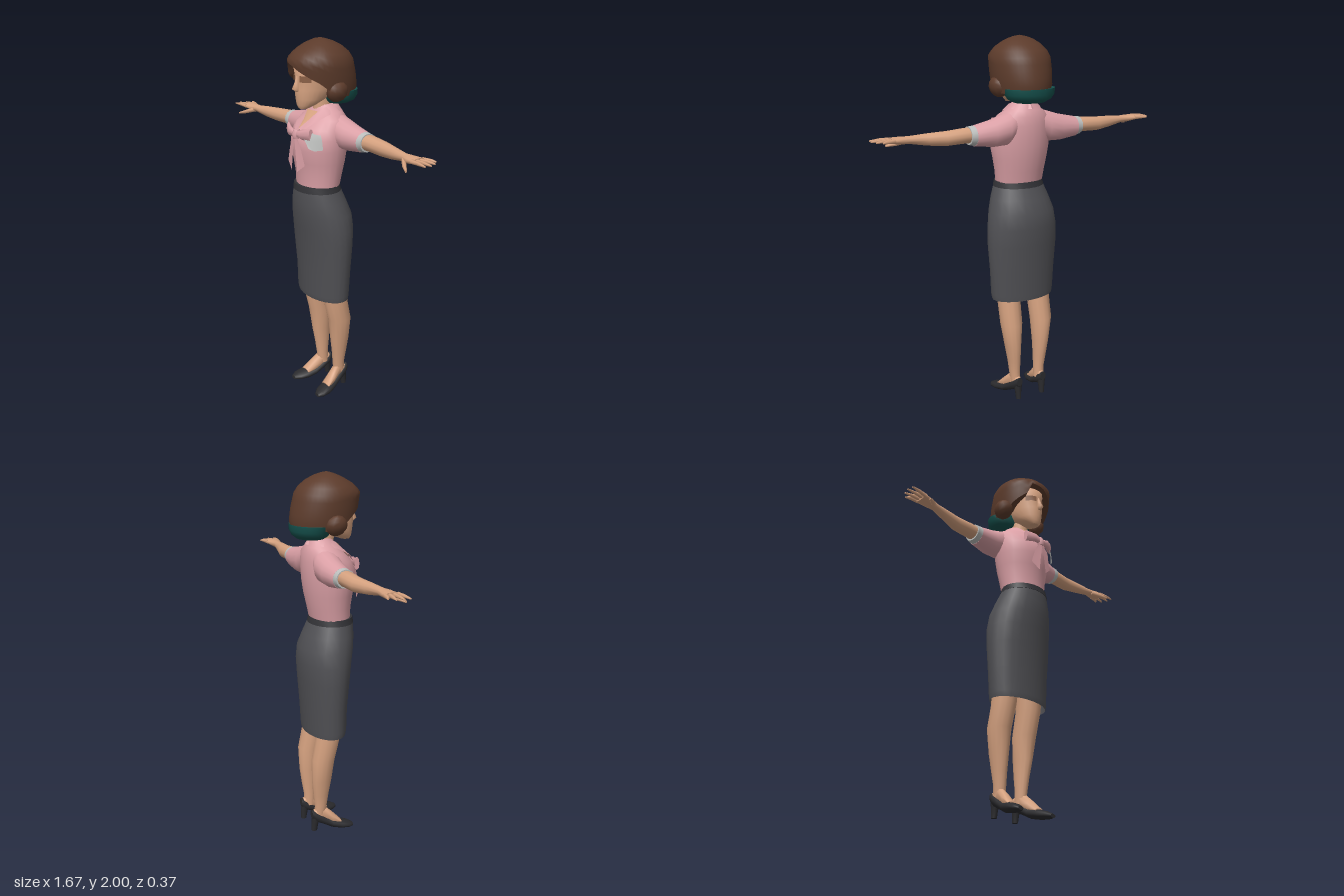
import * as THREE from 'three';

const material = (name, color) => new THREE.MeshStandardMaterial({ name, color, side: THREE.DoubleSide });

// Skin rows of points into a surface; closed rows wrap around
function grid(rows, closed = true) {
  const n = rows[0].length, index = [];
  for (let i = 0; i < rows.length - 1; i++) {
    for (let j = 0; j < (closed ? n : n - 1); j++) {
      const k = (j + 1) % n, a = i * n, b = a + n;
      index.push(a + j, b + j, b + k, a + j, b + k, a + k);
    }
  }
  const geo = new THREE.BufferGeometry();
  geo.setAttribute('position', new THREE.Float32BufferAttribute(rows.flat(2), 3));
  geo.setIndex(index);
  geo.computeVertexNormals();
  return geo;
}

// Elliptical loft along an axis. Ring: [position, centreA, centreB, radiusA, radiusB]
// (A, B) is (x, z) for axis y, (z, y) for axis x, (y, x) for axis z
function loft(axis, rings, sides = 16, capped = true) {
  const place = { y: (p, a, b) => [a, p, b], x: (p, a, b) => [p, b, a], z: (p, a, b) => [b, a, p] }[axis];
  const ring = ([p, ca, cb, ra, rb], s = 1) => Array.from({ length: sides }, (_, j) => {
    const t = (j / sides) * Math.PI * 2;
    return place(p, ca + s * ra * Math.cos(t), cb + s * rb * Math.sin(t));
  });
  const rows = rings.map((r) => ring(r));
  if (capped) {
    const first = rings[0], last = rings[rings.length - 1];
    rows.unshift(ring(first, 0), ring(first));
    rows.push(ring(last), ring(last, 0));
  }
  return grid(rows);
}

// Ring given by its extents in z: [y, halfWidth, zBack, zFront]
const body = (list, sides = 24, capped = true) =>
  loft('y', list.map(([y, w, z0, z1]) => [y, 0, (z0 + z1) / 2, w, (z1 - z0) / 2]), sides, capped);

function mirrored(geo) {
  const g = geo.clone().scale(-1, 1, 1), ix = g.index.array;
  for (let i = 0; i < ix.length; i += 3) [ix[i], ix[i + 1]] = [ix[i + 1], ix[i]];
  g.computeVertexNormals();
  return g;
}

// Piecewise linear lookup in rows sorted by their first entry
function lookup(table, v) {
  let i = 0;
  while (i < table.length - 2 && v > table[i + 1][0]) i++;
  const a = table[i], b = table[i + 1];
  const t = THREE.MathUtils.clamp((v - a[0]) / (b[0] - a[0]), 0, 1);
  return a.map((q, k) => q + (b[k] - q) * t);
}

export function createModel() {
  const model = new THREE.Group();
  model.name = 'woman';
  const skin = material('skin', 0xd6a280), pink = material('blouse pink', 0xdba0a6);
  const grey = material('skirt grey', 0x505054), belt = material('belt charcoal', 0x333337);
  const brown = material('hair brown', 0x5c3b2b), teal = material('hair underside teal', 0x15504c);
  const black = material('shoe black', 0x2b2b2e), pale = material('trim grey', 0xbdbfbd);
  const shade = material('eye brown', 0x8a5f45);

  const add = (name, geo, mat) => {
    const mesh = new THREE.Mesh(geo, mat);
    mesh.name = name;
    model.add(mesh);
  };
  const pair = (name, geo, mat) => {
    add('left' + name, geo, mat);
    add('right' + name, mirrored(geo), mat);
  };

  // Skirt and waistband
  add('skirt', body([
    [0.59, 0.182, -0.115, 0.1], [0.62, 0.187, -0.118, 0.105], [0.75, 0.193, -0.125, 0.108], [0.9, 0.203, -0.137, 0.122],
    [1.0, 0.2, -0.145, 0.135], [1.08, 0.187, -0.14, 0.148], [1.15, 0.165, -0.112, 0.153], [1.22, 0.138, -0.082, 0.152],
  ], 24, false), grey);
  add('waistband', body([[1.212, 0.142, -0.086, 0.155], [1.244, 0.135, -0.078, 0.15]]), belt);

  // Blouse
  add('blouse', body([
    [1.23, 0.132, -0.075, 0.135], [1.3, 0.14, -0.09, 0.137], [1.37, 0.152, -0.106, 0.148], [1.44, 0.164, -0.116, 0.163],
    [1.5, 0.166, -0.12, 0.16], [1.55, 0.16, -0.12, 0.135], [1.595, 0.145, -0.115, 0.09], [1.625, 0.1, -0.103, 0.062],
    [1.665, 0.058, -0.083, 0.035],
  ]), pink);
  pair('Sleeve', loft('x', [
    [0.06, -0.035, 1.56, 0.06, 0.07], [0.12, -0.035, 1.53, 0.078, 0.083], [0.2, -0.04, 1.517, 0.07, 0.071],
    [0.305, -0.04, 1.513, 0.055, 0.053],
  ]), pink);
  pair('Cuff', loft('x', [[0.295, -0.04, 1.513, 0.056, 0.054], [0.335, -0.038, 1.516, 0.051, 0.047]]), pale);

  // Collar, bare throat and neck
  add('neck', loft('y', [
    [1.58, 0, 0.005, 0.055, 0.06], [1.65, 0, 0, 0.045, 0.05], [1.74, 0, 0.01, 0.045, 0.05],
  ]), skin);
  add('throat', grid([[[-0.045, 1.635, 0.06], [0, 1.635, 0.068], [0.045, 1.635, 0.06]],
    [[-0.02, 1.59, 0.103], [0, 1.59, 0.11], [0.02, 1.59, 0.103]],
    [[0, 1.55, 0.15], [0, 1.55, 0.15], [0, 1.55, 0.15]]], false), skin);
  pair('Collar', grid([
    [[0, 1.672, -0.08], [0, 1.635, -0.107]], [[0.058, 1.668, -0.04], [0.088, 1.634, -0.05]],
    [[0.055, 1.65, 0.035], [0.095, 1.618, 0.035]], [[0.03, 1.6, 0.098], [0.065, 1.575, 0.118]],
    [[0, 1.545, 0.155], [0.02, 1.525, 0.165]],
  ], false), pink);

  // Neck bow with loops and tails
  pair('BowLoop', loft('x', [
    [0, 0.165, 1.525, 0.012, 0.014], [0.05, 0.165, 1.53, 0.016, 0.026], [0.1, 0.143, 1.532, 0.014, 0.034],
  ], 8), pink);
  add('bowKnot', loft('y', [[1.5, 0, 0.165, 0.016, 0.016], [1.525, 0, 0.168, 0.022, 0.02], [1.548, 0, 0.16, 0.016, 0.016]], 8), pink);
  pair('BowTail', grid([
    [[-0.008, 1.52, 0.172], [0.012, 1.52, 0.172]], [[0.01, 1.44, 0.178], [0.05, 1.45, 0.17]],
    [[0.025, 1.33, 0.178], [0.075, 1.37, 0.165]],
  ], false), pink);

  // Chest ornament on the model's left
  add('chestOrnament', grid([
    [[0.08, 1.55, 0.142], [0.115, 1.54, 0.132], [0.14, 1.535, 0.11]],
    [[0.07, 1.51, 0.165], [0.11, 1.505, 0.147], [0.15, 1.51, 0.11]],
    [[0.1, 1.465, 0.158], [0.125, 1.455, 0.142], [0.153, 1.46, 0.105]],
  ], false), pale);

  // Arms and hands
  pair('Arm', loft('x', [
    [0.28, -0.038, 1.517, 0.045, 0.041], [0.36, -0.038, 1.518, 0.044, 0.04], [0.46, -0.035, 1.513, 0.038, 0.038],
    [0.55, -0.02, 1.515, 0.029, 0.031], [0.64, -0.007, 1.519, 0.023, 0.02], [0.69, -0.004, 1.52, 0.036, 0.019],
    [0.74, -0.006, 1.524, 0.044, 0.014],
  ], 12), skin);
  const fingers = [[-0.038, -0.058, 0.795], [-0.016, -0.03, 0.82], [0.006, 0.005, 0.833], [0.026, 0.038, 0.828]];
  fingers.forEach(([z0, z1, tip], i) => pair('Finger' + (i + 1), loft('x', [
    [0.725, z0, 1.524, 0.012, 0.011], [0.775, (z0 + z1) / 2, 1.526, 0.01, 0.009], [tip, z1, 1.524, 0.004, 0.004],
  ], 6), skin));
  pair('Thumb', loft('x', [
    [0.655, 0.012, 1.513, 0.014, 0.014], [0.695, 0.042, 1.498, 0.014, 0.012], [0.735, 0.068, 1.486, 0.006, 0.006],
  ], 6), skin);

  // Legs, feet and heeled shoes
  pair('Leg', loft('y', [
    [0.09, 0.076, -0.062, 0.027, 0.033], [0.16, 0.079, -0.057, 0.03, 0.035], [0.23, 0.083, -0.058, 0.035, 0.045],
    [0.32, 0.089, -0.056, 0.044, 0.057], [0.45, 0.095, -0.05, 0.06, 0.066], [0.58, 0.093, -0.02, 0.062, 0.07],
    [0.8, 0.092, 0, 0.07, 0.075],
  ], 14), skin);
  pair('Foot', loft('z', [
    [-0.1, 0.105, 0.077, 0.025, 0.02], [-0.05, 0.11, 0.079, 0.048, 0.028], [0, 0.075, 0.09, 0.038, 0.033],
    [0.05, 0.047, 0.1, 0.013, 0.033],
  ], 10), skin);
  pair('Shoe', loft('z', [
    [-0.113, 0.108, 0.077, 0.024, 0.018], [-0.09, 0.092, 0.078, 0.034, 0.03], [-0.045, 0.065, 0.083, 0.028, 0.034],
    [0, 0.04, 0.092, 0.026, 0.04], [0.05, 0.03, 0.104, 0.026, 0.047], [0.095, 0.022, 0.113, 0.019, 0.039],
    [0.122, 0.016, 0.118, 0.01, 0.018],
  ], 12), black);
  pair('Heel', loft('y', [
    [0.003, 0.077, -0.097, 0.014, 0.016], [0.045, 0.077, -0.093, 0.017, 0.02], [0.09, 0.077, -0.085, 0.026, 0.028],
  ], 10), black);

  // Head, nose and eyes
  add('head', body([
    [1.652, 0.025, 0.095, 0.142], [1.67, 0.046, 0.045, 0.152], [1.7, 0.066, -0.02, 0.156], [1.75, 0.08, -0.08, 0.161],
    [1.8, 0.085, -0.1, 0.155], [1.86, 0.09, -0.1, 0.165], [1.93, 0.07, -0.06, 0.11],
  ]), skin);
  add('nose', loft('y', [
    [1.74, 0, 0.155, 0.012, 0.01], [1.756, 0, 0.162, 0.017, 0.025], [1.785, 0, 0.154, 0.011, 0.018], [1.82, 0, 0.15, 0.008, 0.01],
  ], 8), skin);
  pair('Eye', grid([1.79, 1.822].map((y) => [[0.022, y, 0.157], [0.046, y, 0.145], [0.07, y, 0.116]]), false), shade);

  // Hair cap: [y, halfWidth, zBack, zFront] profile cut along a swept hairline
  const profile = [
    [1.68, 0.13, -0.15, 0.16], [1.72, 0.145, -0.178, 0.17], [1.76, 0.152, -0.185, 0.175], [1.82, 0.157, -0.176, 0.183],
    [1.9, 0.157, -0.155, 0.19], [1.94, 0.13, -0.125, 0.15], [1.975, 0.085, -0.07, 0.09], [1.993, 0.04, -0.015, 0.045], [2, 0, 0.015, 0.015],
  ];
  const hairline = [ // [degrees from the front toward +x, height]
    [-180, 1.725], [-100, 1.715], [-75, 1.74], [-55, 1.785], [-36, 1.82], [-27, 1.885], [0, 1.872],
    [30, 1.83], [55, 1.79], [75, 1.74], [100, 1.715], [180, 1.725],
  ];
  const hairRow = (t, shrink = 1) => Array.from({ length: 40 }, (_, j) => {
    const a = 90 - j * 9, deg = a < -180 ? a + 360 : a;
    const low = lookup(hairline, deg)[1], y = low + (2 - low) * t;
    const [, w, z0, z1] = lookup(profile, y), r = THREE.MathUtils.degToRad(deg);
    return [shrink * w * Math.sin(r) + 0.004, y, (z0 + z1) / 2 + (shrink * (z1 - z0) / 2) * Math.cos(r)];
  });
  const steps = [0, 0.12, 0.25, 0.38, 0.5, 0.62, 0.74, 0.85, 0.93, 0.975, 1];
  add('hair', grid([hairRow(0, 0.6), hairRow(0), ...steps.map((t) => hairRow(t))]), brown);
  pair('Curl', new THREE.SphereGeometry(1, 10, 7).scale(0.045, 0.055, 0.06).rotateZ(-0.35).translate(0.135, 1.745, 0.005), brown);
  add('hairUnderside', body([
    [1.668, 0.085, -0.15, -0.01], [1.685, 0.12, -0.172, 0.01], [1.71, 0.138, -0.183, 0.02], [1.74, 0.142, -0.182, 0.02],
  ]), teal);

  return model;
}
